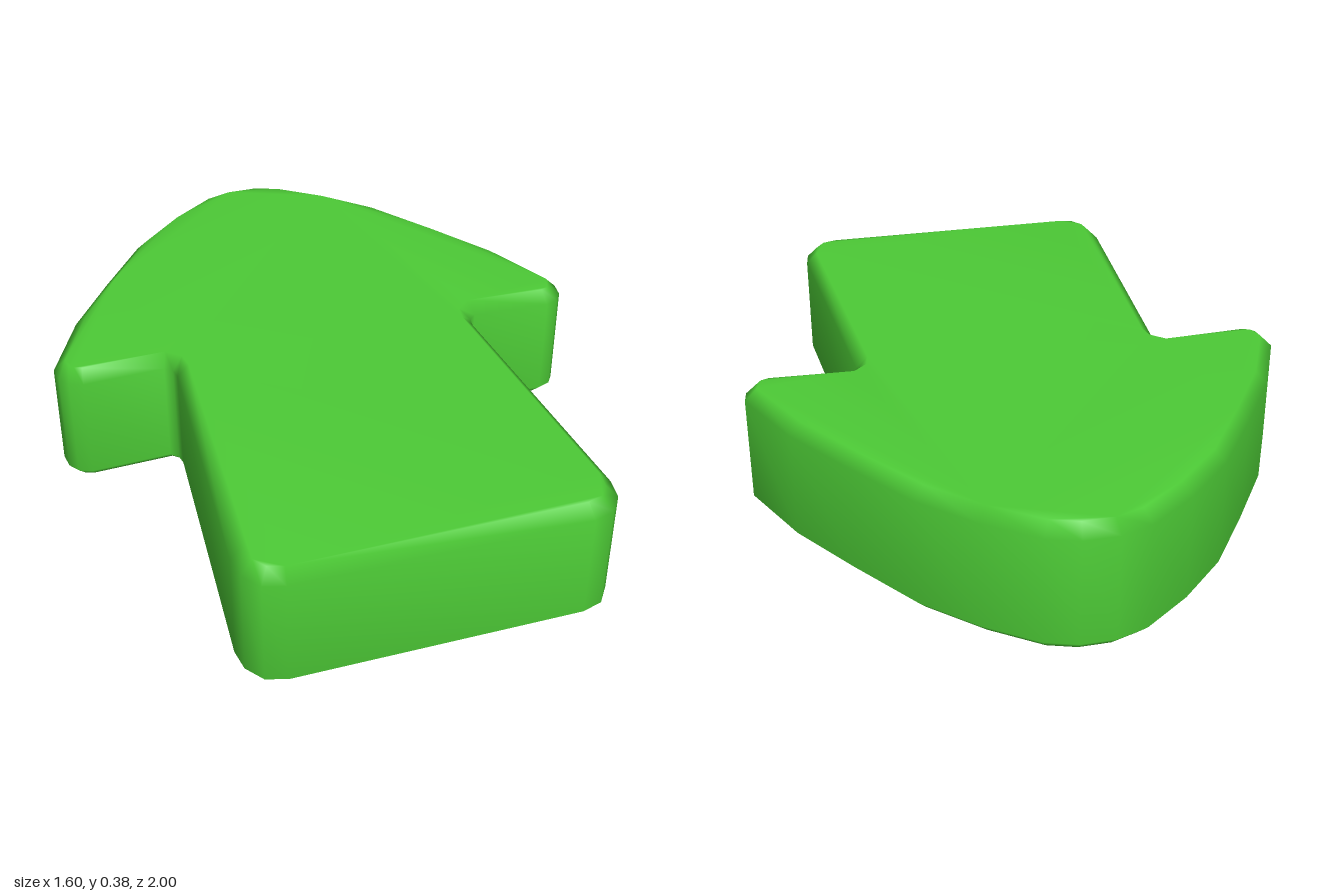
import * as THREE from 'three';
import { mergeVertices } from 'three/addons/utils/BufferGeometryUtils.js';

const HEIGHT = 0.385;
const BEVEL = 0.035;

// Right half of the outline as [x, z], from the tip round to the tail
const HALF = [
  [0.05, -1], [0.14, -0.97], [0.28, -0.867], [0.42, -0.73], [0.56, -0.53],
  [0.695, -0.325], [0.8, -0.095], [0.793, -0.045], [0.77, -0.012], [0.73, 0.003],
  [0.49, -0.008], [0.468, 0.012], [0.462, 0.045],
  [0.518, 0.865], [0.508, 0.93], [0.47, 0.982], [0.41, 1],
];

export function createModel() {
  const green = new THREE.MeshStandardMaterial({ color: 0x4dcb36 });
  green.name = 'green';

  // Mirrored outline; shape y is -z
  const right = HALF.map(([x, z]) => new THREE.Vector2(x, -z));
  const left = HALF.map(([x, z]) => new THREE.Vector2(-x, -z)).reverse();

  // Bevelled slab, laid flat on the ground
  const slab = new THREE.ExtrudeGeometry(new THREE.Shape([...right, ...left]), {
    depth: HEIGHT - 2 * BEVEL,
    bevelEnabled: true,
    bevelThickness: BEVEL,
    bevelSize: BEVEL,
    bevelOffset: -BEVEL,
    bevelSegments: 1,
  });
  slab.rotateX(-Math.PI / 2).translate(0, BEVEL, 0);

  // Area-weighted normals keep the large faces flat and the edges soft
  slab.deleteAttribute('normal');
  slab.deleteAttribute('uv');
  slab.clearGroups();
  const geometry = mergeVertices(slab, 1e-4);
  geometry.computeVertexNormals();

  const arrow = new THREE.Mesh(geometry, green);
  arrow.name = 'arrow';

  const group = new THREE.Group();
  group.name = 'arrowBlock';
  group.add(arrow);
  return group;
}
